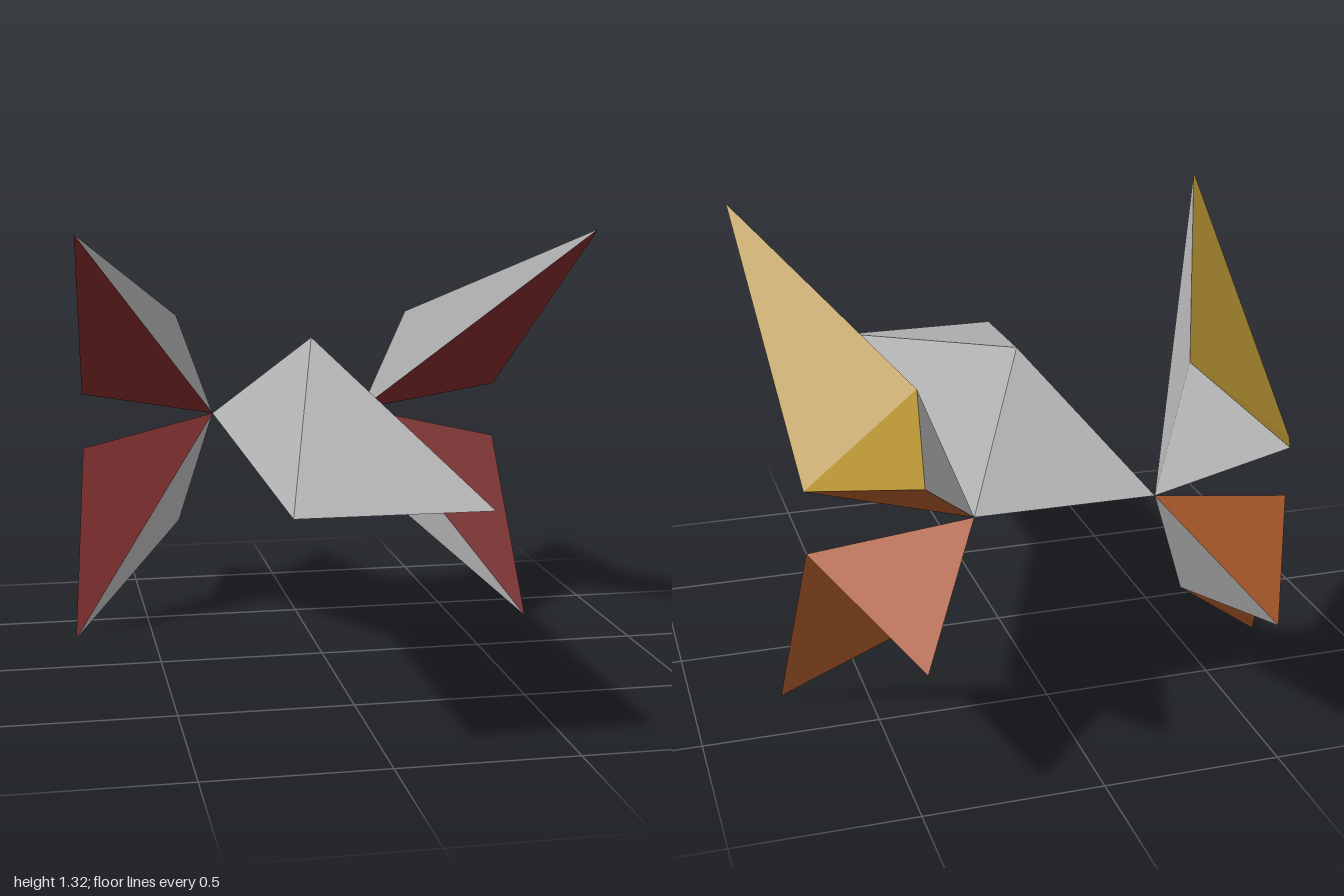
import * as THREE from 'three';

const paint = (name, color) => {
  const m = new THREE.MeshStandardMaterial({ color });
  m.name = name;
  return m;
};

// Faceted double pyramid: a ring of corners joined to two apexes.
// facePaint[a][i] is the material of the face between apex a and ring edge i.
function doublePyramid(name, ring, apexes, facePaint) {
  const group = new THREE.Group();
  group.name = name;
  const centre = new THREE.Vector3();
  ring.forEach((p) => centre.addScaledVector(p, 1 / ring.length));

  const byMaterial = new Map();
  apexes.forEach((apex, a) => ring.forEach((p, i) => {
    const q = ring[(i + 1) % ring.length];
    const tri = new THREE.Triangle(p, q, apex);
    const outward = tri.getNormal(new THREE.Vector3()).dot(p.clone().sub(centre)) > 0;
    const mat = facePaint[a][i];
    if (!byMaterial.has(mat)) byMaterial.set(mat, []);
    byMaterial.get(mat).push(...(outward ? [p, q, apex] : [q, p, apex]));
  }));

  for (const [mat, points] of byMaterial) {
    const geometry = new THREE.BufferGeometry().setFromPoints(points);
    geometry.computeVertexNormals();
    const mesh = new THREE.Mesh(geometry, mat);
    mesh.name = `${name} ${mat.name} faces`;
    group.add(mesh);
  }
  return group;
}

export function createModel() {
  const grey = paint('grey', 0xb0b0b0);
  const gold = paint('gold', 0xb08d30);
  const red = paint('dark red', 0x802a2a);
  const brown = paint('brown', 0xa85729);

  const model = new THREE.Group();
  model.name = 'winged craft';
  const v = (x, y, z) => new THREE.Vector3(x, y, z);
  const mid = 0.665;

  // Body: long flat rectangle with a ridge point above and a keel point below
  const allGrey = [grey, grey, grey, grey];
  model.add(doublePyramid(
    'body',
    [v(-0.257, mid, 1), v(0.257, mid, 1), v(0.257, mid, -0.645), v(-0.257, mid, -0.645)],
    [v(0, 0.97, -0.185), v(0, 0.46, -0.185)],
    [allGrey, allGrey],
  ));

  // Four wings meeting the body at its rear corners
  for (const [side, s] of [['left', 1], ['right', -1]]) {
    for (const [level, u, tipZ, outer] of [['upper', 1, 0.325, gold], ['lower', -1, -0.29, brown]]) {
      const at = (x, y, z) => v(s * x, mid + u * y, z);
      model.add(doublePyramid(
        `${level} ${side} wing`,
        // root, inner corner, outer corner
        [at(0.257, 0, -0.645), at(0.385, 0.343, -0.55), at(0.697, 0.09, -0.555)],
        // long front tip, short rear tip
        [at(0.745, 0.66, tipZ), at(0.477, 0.253, -1)],
        [[grey, outer, red], [grey, outer, brown]],
      ));
    }
  }
  return model;
}
